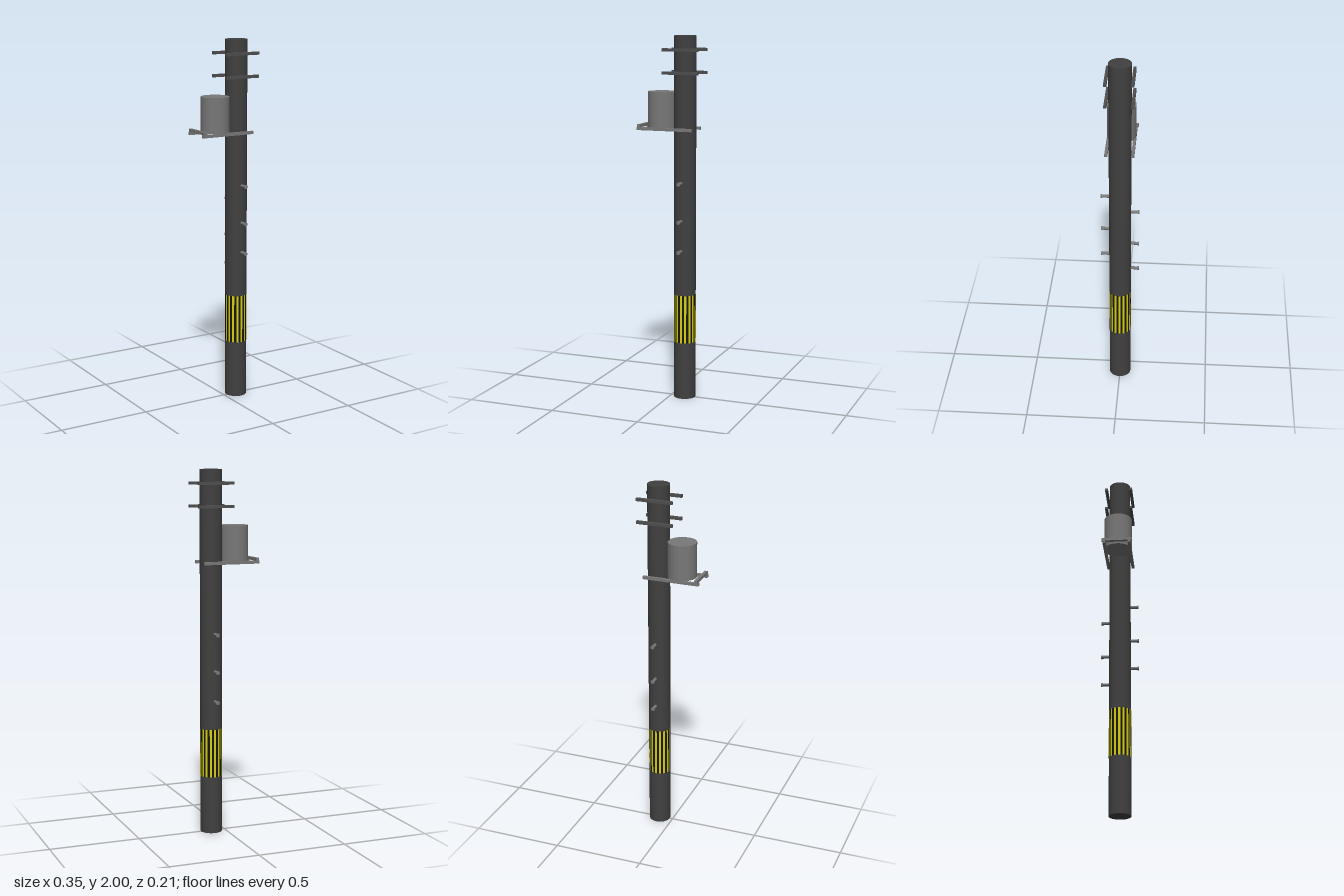
import * as THREE from 'three';

const POLE_X = 0.077, POLE_R = 0.06;

export function createModel() {
  const model = new THREE.Group();
  model.name = 'utilityPole';

  const paint = (color, extra = {}) => new THREE.MeshStandardMaterial({ color, ...extra });
  const concrete = paint(0x404040);
  const armSteel = paint(0x4e4e4e);
  const steel = paint(0x787878);
  const black = paint(0x161616);
  const yellow = paint(0xd8d010, { side: THREE.DoubleSide });

  const add = (name, geometry, material, x, y, z, parent = model) => {
    const mesh = new THREE.Mesh(geometry, material);
    mesh.name = name;
    mesh.position.set(x, y, z);
    parent.add(mesh);
    return mesh;
  };

  // Main pole
  add('pole', new THREE.CylinderGeometry(POLE_R, POLE_R, 2, 48), concrete, POLE_X, 1, 0);

  // Warning band: dark sleeve with vertical yellow stripes
  const band = new THREE.Group();
  band.name = 'warningBand';
  band.position.set(POLE_X, 0.453, 0);
  model.add(band);
  add('bandSleeve', new THREE.CylinderGeometry(0.0604, 0.0604, 0.268, 48, 1, true), black, 0, 0, 0, band);
  const stripes = 16, step = Math.PI * 2 / stripes;
  for (let i = 0; i < stripes; i++) {
    const stripe = new THREE.CylinderGeometry(0.0609, 0.0609, 0.268, 3, 1, true, (i - 0.25) * step, step / 2);
    add('yellowStripe', stripe, yellow, 0, 0, 0, band);
  }

  // Paired crossarms and platform rails on both sides of the pole
  for (const side of [-1, 1]) {
    for (const y of [1.925, 1.802]) {
      add('crossarm', new THREE.BoxGeometry(0.202, 0.016, 0.016), armSteel, 0.073, y, side * 0.07);
    }
    add('platformRail', new THREE.BoxGeometry(0.315, 0.016, 0.016), steel, -0.0175, 1.5, side * 0.07);
  }

  // End bar lying across the rails
  add('platformEndBar', new THREE.BoxGeometry(0.018, 0.016, 0.167), steel, -0.161, 1.516, -0.001);

  // Transformer drum
  add('transformerDrum', new THREE.CylinderGeometry(0.078, 0.078, 0.192, 48), steel, -0.056, 1.604, 0);

  // Climbing pegs, alternating front and back
  const pegShaft = new THREE.CylinderGeometry(0.0085, 0.0085, 0.05, 16).rotateX(Math.PI / 2);
  const pegHead = new THREE.CylinderGeometry(0.011, 0.011, 0.007, 16).rotateX(Math.PI / 2);
  const pegs = { 1: [1.21, 1.002, 0.836], '-1': [1.115, 0.91, 0.744] };
  for (const side of [1, -1]) {
    for (const y of pegs[side]) {
      const peg = new THREE.Group();
      peg.name = 'climbingPeg';
      peg.position.set(POLE_X, y, 0);
      add('pegShaft', pegShaft, steel, 0, 0, side * 0.075, peg);
      add('pegHead', pegHead, steel, 0, 0, side * 0.1005, peg);
      model.add(peg);
    }
  }

  return model;
}
